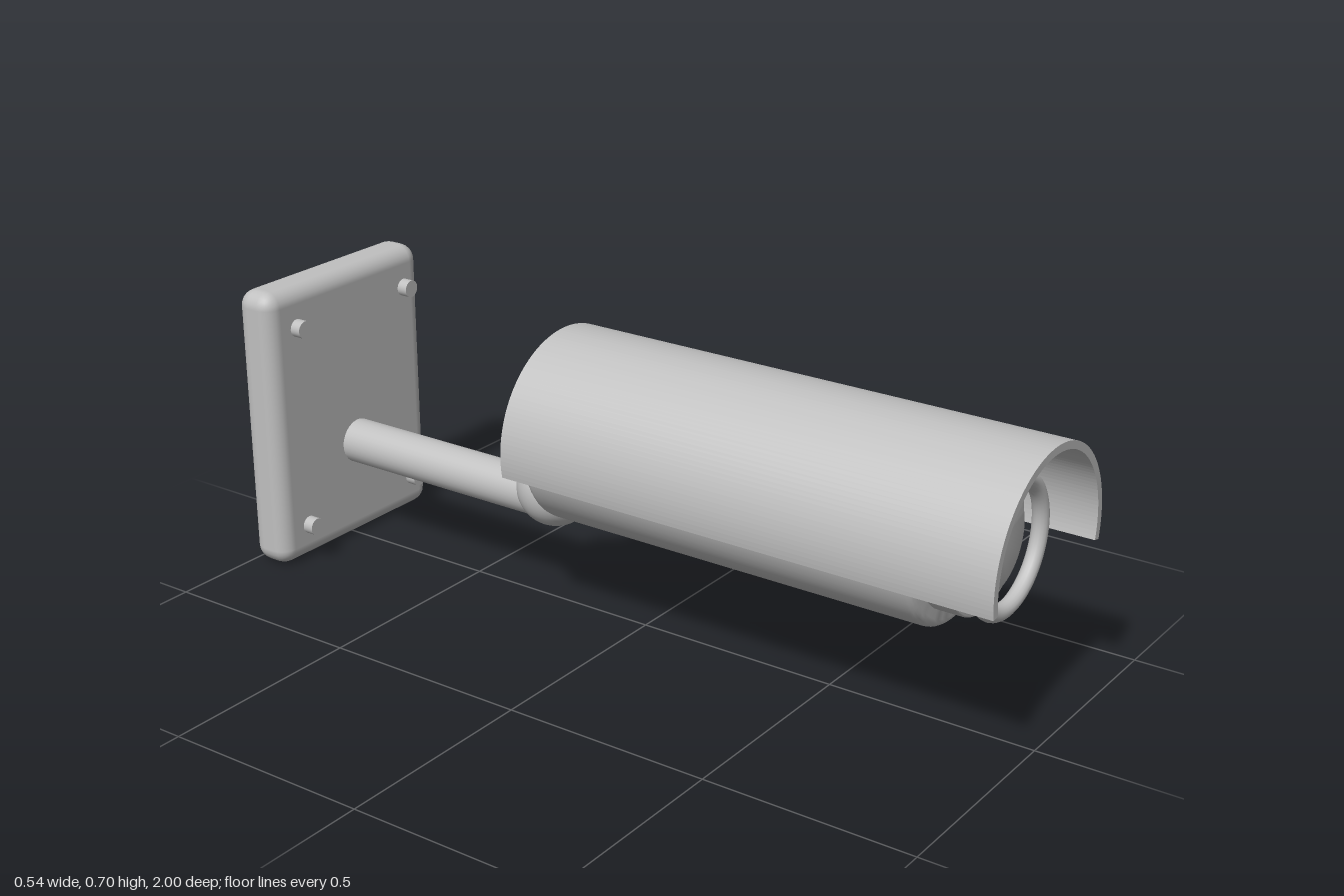
import * as THREE from 'three';
import { toCreasedNormals } from 'three/addons/utils/BufferGeometryUtils.js';
import { RoundedBoxGeometry } from 'three/addons/geometries/RoundedBoxGeometry.js';

const AXIS_Y = 0.447; // height of the camera's optical axis

export function createModel() {
  const model = new THREE.Group();
  model.name = 'securityCamera';
  const grey = new THREE.MeshStandardMaterial({ color: 0xc0c0c0 });
  grey.name = 'grey';

  function add(name, geometry, x, y, z) {
    const mesh = new THREE.Mesh(geometry, grey);
    mesh.name = name;
    mesh.position.set(x, y, z);
    model.add(mesh);
    return mesh;
  }

  // Solid disc along z from z0 to z1 with rounded rims of radius b
  function roundedDrum(r, z0, z1, b, segments = 64) {
    const points = [new THREE.Vector2(0, z0)];
    for (let i = 0; i <= 4; i++) {
      const a = (i / 4) * Math.PI / 2;
      points.push(new THREE.Vector2(r - b + b * Math.sin(a), z0 + b - b * Math.cos(a)));
    }
    for (let i = 0; i <= 4; i++) {
      const a = (i / 4) * Math.PI / 2;
      points.push(new THREE.Vector2(r - b + b * Math.cos(a), z1 - b + b * Math.sin(a)));
    }
    points.push(new THREE.Vector2(0, z1));
    const lathe = new THREE.LatheGeometry(points, segments).rotateX(Math.PI / 2);
    return toCreasedNormals(lathe, 0.6);
  }

  // Wall plate and its four screws
  add('wallPlate', new RoundedBoxGeometry(0.54, 0.7, 0.108, 3, 0.04), 0, 0.35, -0.946);
  for (const x of [-0.19, 0.19]) {
    for (const y of [0.097, 0.607]) {
      add('screw', new THREE.CylinderGeometry(0.0215, 0.0215, 0.027, 24).rotateX(Math.PI / 2), x, y, -0.866);
    }
  }

  // Arm and ball joint
  add('arm', new THREE.CylinderGeometry(0.055, 0.055, 0.62, 32).rotateX(Math.PI / 2), 0, 0.258, -0.57);
  add('ballJoint', new THREE.SphereGeometry(0.0935, 40, 24), 0, 0.288, -0.257);

  // Camera body, stepped front, lens and trim ring
  add('body', roundedDrum(0.206, -0.197, 0.795, 0.02), 0, AXIS_Y, 0);
  add('frontCollar', roundedDrum(0.165, 0.78, 0.86, 0.004), 0, AXIS_Y, 0);
  add('lens', roundedDrum(0.111, 0.85, 0.89, 0.006), 0, AXIS_Y, 0);
  add('trimRing', new THREE.TorusGeometry(0.144, 0.0185, 16, 64), 0, AXIS_Y, 0.908);

  // Curved sun shield, slightly more than a half tube
  const drop = 0.2;
  const arch = new THREE.Shape();
  arch.absarc(0, 0, 0.241, -drop, Math.PI + drop, false);
  arch.absarc(0, 0, 0.223, Math.PI + drop, -drop, true);
  arch.closePath();
  const shield = new THREE.ExtrudeGeometry(arch, { depth: 1.225, bevelEnabled: false, curveSegments: 40 });
  add('sunShield', shield, 0, AXIS_Y, -0.225);

  return model;
}
